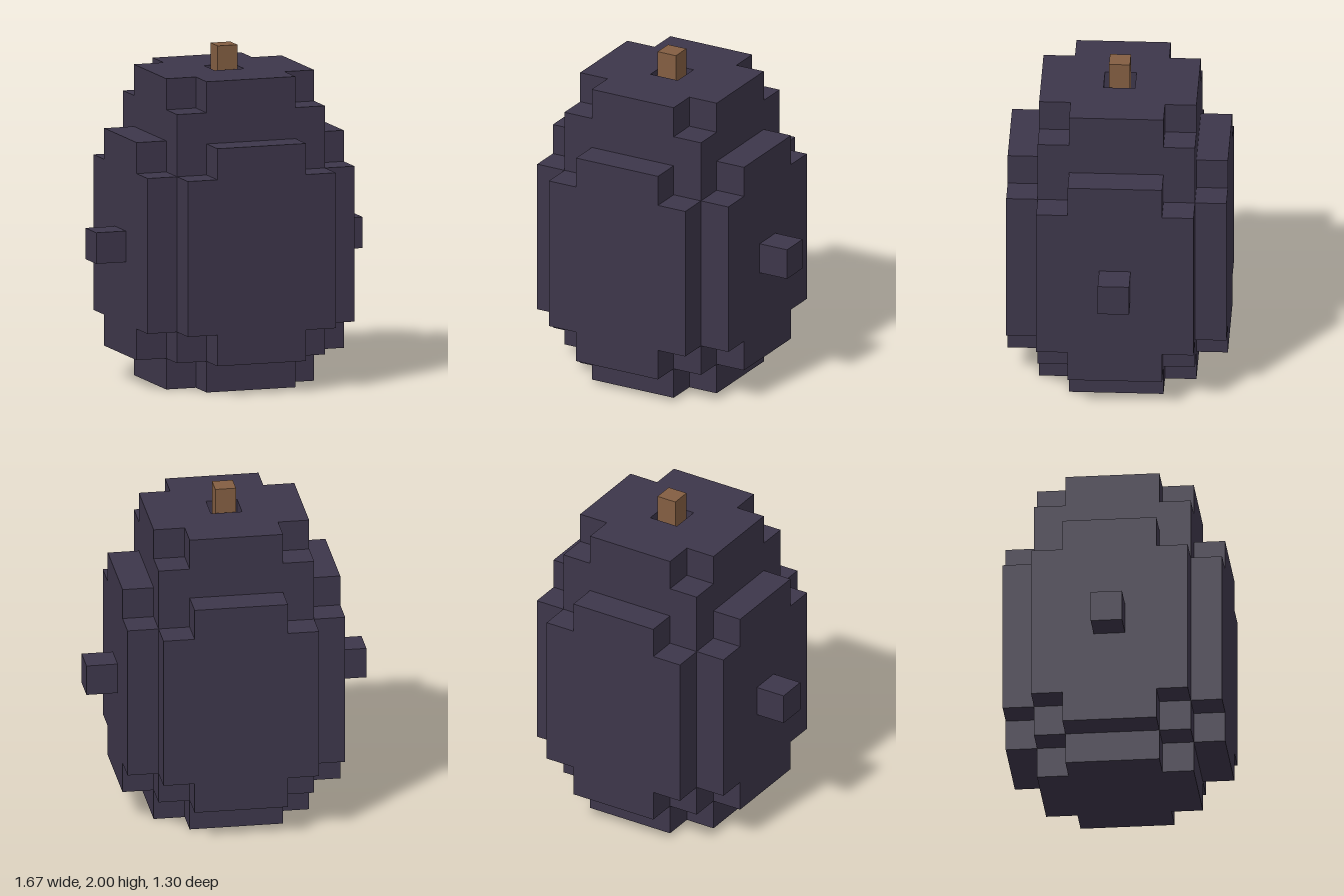
import * as THREE from 'three';

const U = 0.186; // one block

// Rectangle with one block missing from each corner, extruded one block along +z
function notchedSlab(halfW, halfH, hole) {
  const a = halfW, b = halfH, c = a - U, d = b - U;
  const pts = [[c, -b], [c, -d], [a, -d], [a, d], [c, d], [c, b],
    [-c, b], [-c, d], [-a, d], [-a, -d], [-c, -d], [-c, -b]];
  const shape = new THREE.Shape(pts.map(([x, y]) => new THREE.Vector2(x, y)));
  if (hole) {
    shape.holes.push(new THREE.Path([[-hole, -hole], [-hole, hole], [hole, hole], [hole, -hole]]
      .map(([x, y]) => new THREE.Vector2(x, y))));
  }
  return new THREE.ExtrudeGeometry(shape, { depth: U, bevelEnabled: false });
}

export function createModel() {
  const shell = new THREE.MeshStandardMaterial({ color: 0x3d364a });
  shell.name = 'dark purple';
  const wood = new THREE.MeshStandardMaterial({ color: 0x835e42 });
  wood.name = 'brown';

  const model = new THREE.Group();
  model.name = 'blockBarrel';
  const add = (name, geometry, material, x = 0, y = 0, z = 0) => {
    const mesh = new THREE.Mesh(geometry, material);
    mesh.name = name;
    mesh.position.set(x, y, z);
    model.add(mesh);
    return mesh;
  };

  // Square core between the two notched end caps
  add('core', new THREE.BoxGeometry(5 * U, 8 * U, 5 * U), shell, 0, 5 * U, 0);
  add('bottomCap', notchedSlab(2.5 * U, 2.5 * U).rotateX(-Math.PI / 2), shell);
  add('topCap', notchedSlab(2.5 * U, 2.5 * U, U / 2).rotateX(-Math.PI / 2), shell, 0, 9 * U, 0);

  // Raised panels on all four sides
  ['front', 'left', 'back', 'right'].forEach((side, i) => {
    const panel = notchedSlab(2.5 * U, 3.5 * U).translate(0, 4.5 * U, 2.5 * U);
    add(side + 'Panel', panel.rotateY(i * Math.PI / 2), shell);
  });

  // Side knobs
  for (const s of [1, -1]) {
    add(s > 0 ? 'leftKnob' : 'rightKnob', new THREE.BoxGeometry(U, U, U), shell, s * 4 * U, 4.5 * U, 0);
  }

  // Stem standing in the recess of the top cap
  const stemBase = 9 * U;
  add('stem', new THREE.BoxGeometry(0.124, 2 - stemBase, 0.124), wood, 0, (2 + stemBase) / 2, 0);

  return model;
}
